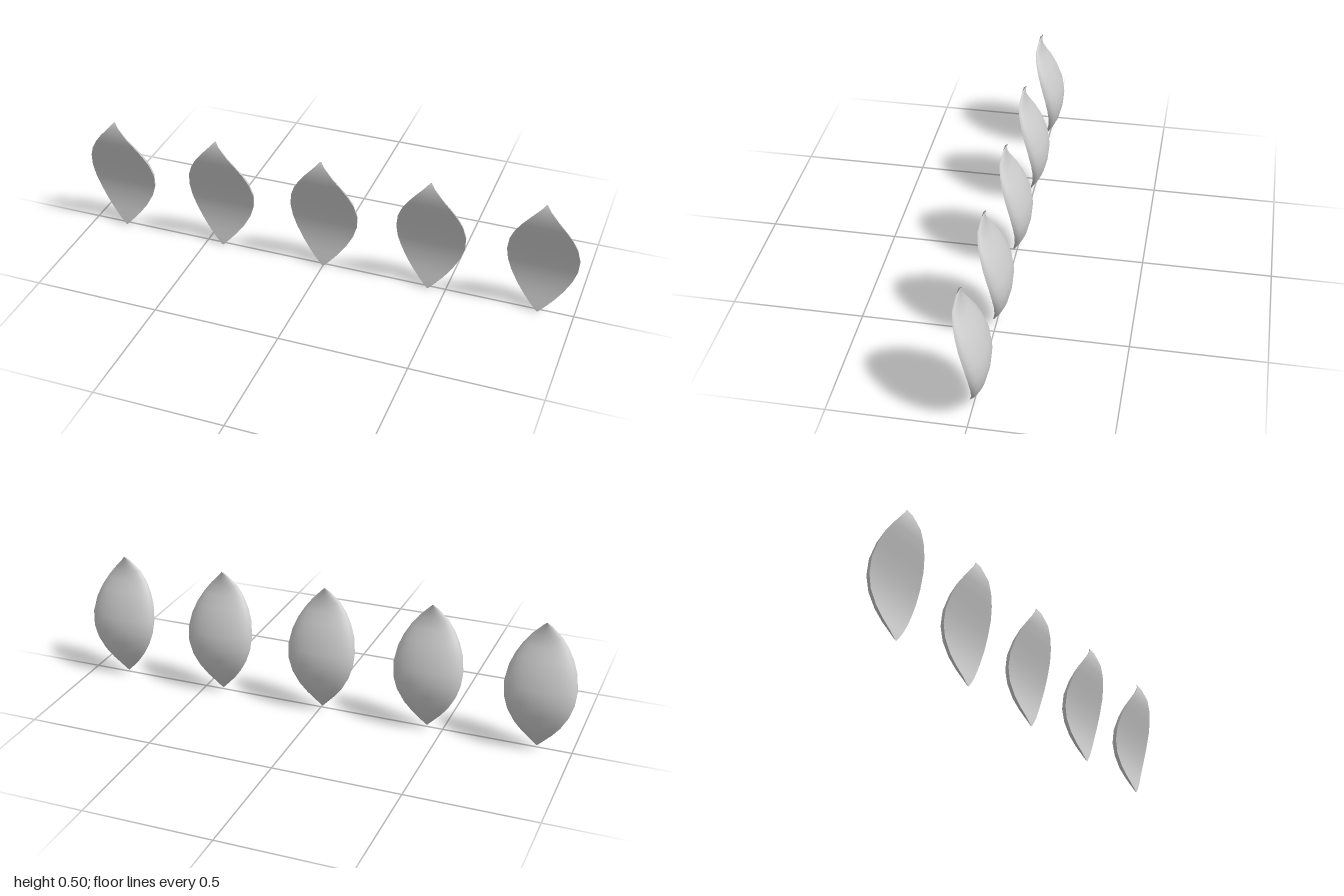
import * as THREE from 'three';

// Side profile from base to tip: height, front z, back z
const PROFILE = [
  [0, 0.015, 0.013], [0.03, 0.01, -0.005], [0.06, 0.002, -0.022], [0.1, -0.006, -0.04],
  [0.15, -0.01, -0.053], [0.2, -0.006, -0.058], [0.255, 0.005, -0.05], [0.315, 0.024, -0.027],
  [0.36, 0.039, -0.005], [0.4, 0.051, 0.02], [0.437, 0.058, 0.036], [0.478, 0.05, 0.04],
  [0.495, 0.038, 0.036],
];
const HEIGHT = 0.495;
const HALF_WIDTH = 0.1375;
const COLUMNS = 20;

// Pointed oval outline
function halfWidth(y) {
  const t = (2 * y) / HEIGHT - 1;
  return Math.max(0.003, HALF_WIDTH * (1 - t * t));
}

// One face of the petal: flat across at the front, half-elliptic at the back
function petalFace(isBack) {
  const positions = [];
  const indices = [];
  PROFILE.forEach(([y, front, back], i) => {
    for (let j = 0; j <= COLUMNS; j++) {
      const a = (j / COLUMNS) * Math.PI;
      const z = isBack ? front - (front - back) * Math.sin(a) : front;
      positions.push(-halfWidth(y) * Math.cos(a), y, z);
      if (i === PROFILE.length - 1 || j === COLUMNS) continue;
      const p = i * (COLUMNS + 1) + j;
      const q = p + COLUMNS + 1;
      if (isBack) indices.push(p, q, p + 1, p + 1, q, q + 1);
      else indices.push(p, p + 1, q, p + 1, q + 1, q);
    }
  });
  const geometry = new THREE.BufferGeometry();
  geometry.setAttribute('position', new THREE.Float32BufferAttribute(positions, 3));
  geometry.setIndex(indices);
  geometry.computeVertexNormals();
  return geometry;
}

export function createModel() {
  const model = new THREE.Group();
  model.name = 'petalRow';
  const material = new THREE.MeshStandardMaterial({ color: 0xcccccc, side: THREE.DoubleSide });
  const faces = { petalFront: petalFace(false), petalBack: petalFace(true) };

  // Five equal petals side by side
  for (let k = -2; k <= 2; k++) {
    const petal = new THREE.Group();
    petal.name = `petal${k + 3}`;
    for (const [name, geometry] of Object.entries(faces)) {
      const mesh = new THREE.Mesh(geometry, material);
      mesh.name = name;
      petal.add(mesh);
    }
    petal.position.x = k * 0.43125;
    model.add(petal);
  }
  return model;
}
